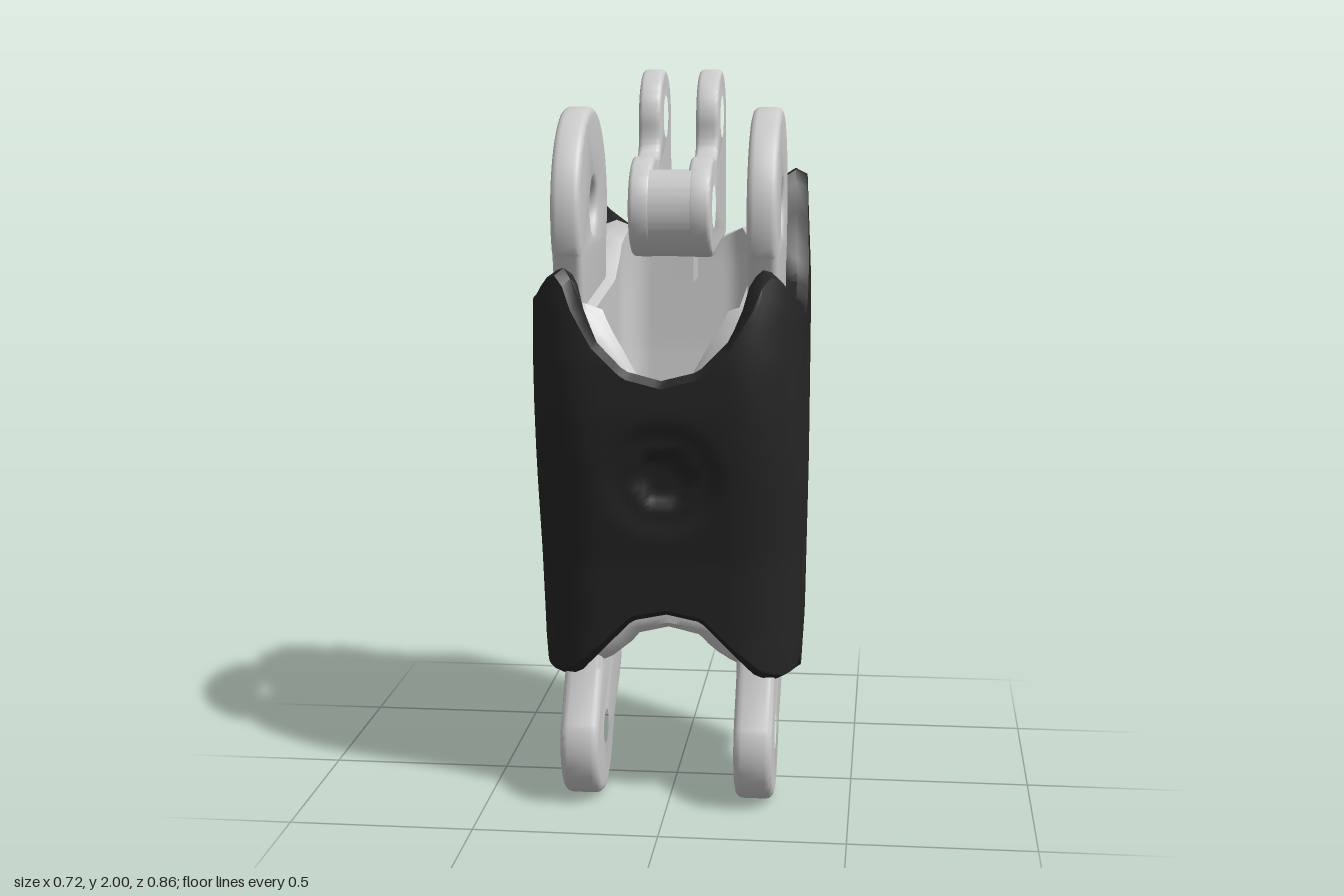
import * as THREE from 'three';
import { toCreasedNormals } from 'three/addons/utils/BufferGeometryUtils.js';

const grey = new THREE.MeshStandardMaterial({ color: 0xcccccc });
const black = new THREE.MeshStandardMaterial({ color: 0x262626 });

// Linear lookup in a short list of [key, value] pairs
function look(keys, k) {
  if (k <= keys[0][0]) return keys[0][1];
  for (let i = 1; i < keys.length; i++) {
    const [a, va] = keys[i - 1], [b, vb] = keys[i];
    if (k <= b) return va + (vb - va) * (k - a) / (b - a);
  }
  return keys[keys.length - 1][1];
}

// Body outline by height: front z, back z, half width
const FRONT = [[0.25, 0.275], [0.36, 0.285], [0.5, 0.3], [0.7, 0.33], [0.85, 0.365], [1, 0.4], [1.12, 0.42], [1.25, 0.43], [1.38, 0.424], [1.5, 0.408], [1.72, 0.37]];
const BACK = [[0.25, -0.325], [0.45, -0.365], [0.8, -0.4], [1.2, -0.425], [1.48, -0.428], [1.75, -0.41]];
const WIDTH = [[0.25, 0.345], [0.45, 0.355], [0.9, 0.36], [1.4, 0.36], [1.75, 0.345]];

// Point on half a rounded rectangle; t: 0-1 front, 1-2 corner, 2-3 side, 3-4 corner, 4-5 back
function section(t, y, { w, f, b, r }) {
  const W = look(WIDTH, y) - w, F = look(FRONT, y) - f, B = look(BACK, y) + b;
  const q = (t % 1) * Math.PI / 2;
  if (t < 1) return [t * (W - r), F];
  if (t < 2) return [W - r + r * Math.sin(q), F - r + r * Math.cos(q)];
  if (t < 3) return [W, F - r + (t - 2) * (B - F + 2 * r)];
  if (t < 4) return [W - r + r * Math.cos(q), B + r - r * Math.sin(q)];
  return [(5 - t) * (W - r), B];
}

// Hollow tube with wavy ends, rounded lips and a round hole through each side
function shell(outer, inner, top, bottom, dent, hole) {
  const N = 40, rows = 2 * N + 4, half = [], pos = [], idx = [];
  [10, 10, 16, 10, 10].forEach((n, s) => { for (let i = 0; i < n; i++) half.push(s + i / n); });
  const cols = [...half.map(t => [t, 1]), [5, 1], ...half.slice(1).reverse().map(t => [t, -1])];
  const C = cols.length, at = (c, j) => ((c + C) % C) * rows + (j + rows) % rows;
  for (const [t, s] of cols) {
    const T = look(top, t), B = look(bottom, t), lip = 0.018;
    for (let j = 0; j < rows; j++) {
      const rim = j === N + 1 || j === rows - 1;
      const k = j <= N ? j : 2 * N + 2 - j;
      const y = j === N + 1 ? T : j === rows - 1 ? B : B + lip + (T - B - 2 * lip) * k / N;
      let [x, z] = section(t, y, j <= N ? outer : inner);
      if (rim) {
        const o = section(t, y, outer);
        x = (x + o[0]) / 2; z = (z + o[1]) / 2;
      } else if (dent && j <= N) [x, z] = dent(t, x, y, z);
      pos.push(x * s, y, z);
    }
  }
  // Pull a ring of eight vertices onto each hole, drop the cells inside and line it
  const skip = new Set();
  for (const s of [1, -1]) {
    let best = 9, hc = 0, hr = 0;
    cols.forEach(([t, cs], c) => {
      if (cs !== s || t < 2 || t > 3) return;
      for (let j = 2; j < N - 1; j++) {
        const p = at(c, j) * 3, d = Math.hypot(pos[p + 1] - hole.y, pos[p + 2] - hole.z);
        if (d < best) { best = d; hc = c; hr = j; }
      }
    });
    const ring = [[1, 0], [1, 1], [0, 1], [-1, 1], [-1, 0], [-1, -1], [0, -1], [1, -1]];
    const flip = j => 2 * N + 2 - j;
    ring.forEach(([dc, dr]) => {
      const l = Math.hypot(dc, dr);
      for (const j of [hr + dr, flip(hr + dr)]) {
        const p = at(hc + dc, j) * 3;
        pos[p + 1] = hole.y + hole.r * dr / l;
        pos[p + 2] = hole.z - s * hole.r * dc / l;
      }
    });
    for (const dc of [-1, 0]) for (const dr of [-1, 0]) {
      skip.add((hc + dc) + '_' + (hr + dr));
      skip.add((hc + dc) + '_' + (flip(hr + dr) - 1));
    }
    ring.forEach(([c0, r0], i) => {
      const [c1, r1] = ring[(i + 1) % 8];
      const a = at(hc + c0, hr + r0), b = at(hc + c1, hr + r1);
      const d = at(hc + c0, flip(hr + r0)), e = at(hc + c1, flip(hr + r1));
      idx.push(a, b, e, a, e, d);
    });
  }
  for (let c = 0; c < C; c++) for (let j = 0; j < rows; j++) {
    if (skip.has(c + '_' + j)) continue;
    const a = at(c, j), b = at(c + 1, j), d = at(c + 1, j + 1), e = at(c, j + 1);
    idx.push(a, b, d, a, d, e);
  }
  const g = new THREE.BufferGeometry();
  g.setAttribute('position', new THREE.Float32BufferAttribute(pos, 3));
  g.setIndex(idx);
  return toCreasedNormals(g, 0.8);
}

// Recessed slanted panel on each side, round recess with a hexagonal socket in front
const step = (d, a, b) => 1 - THREE.MathUtils.smoothstep(d, a, b);
function dent(t, x, y, z) {
  if (t >= 2 && t <= 3) {
    const k = THREE.MathUtils.clamp((y - 0.68) / 0.5, 0, 1);
    const d = Math.hypot(z - (-0.045 + 0.07 * k), y - (0.68 + 0.5 * k));
    x -= 0.016 * step(d, 0.07, 0.105);
  } else if (t < 2) {
    const h = y - 0.94, d = Math.hypot(x, h), a = Math.atan2(h, x) + Math.PI / 6;
    const sector = Math.PI / 3, hex = d * Math.cos(a - sector * Math.round(a / sector));
    z -= 0.012 * step(d, 0.11, 0.175) + 0.028 * step(hex, 0.045, 0.085);
  }
  return [x, z];
}

// Plate drawn in (z, y) and extruded along x between x0 and x1
function plate(name, shape, x0, x1, bevel) {
  const geo = new THREE.ExtrudeGeometry(shape, {
    depth: x1 - x0 - 2 * bevel, curveSegments: 20,
    bevelEnabled: bevel > 0, bevelSize: bevel, bevelThickness: bevel, bevelOffset: -bevel, bevelSegments: 3,
  });
  geo.rotateY(-Math.PI / 2).translate(x1 - bevel, 0, 0);
  const mesh = new THREE.Mesh(toCreasedNormals(geo, 0.6), grey);
  mesh.name = name;
  return mesh;
}
function drill(shape, z, y, r) {
  shape.holes.push(new THREE.Path().absarc(z, y, r, 0, Math.PI * 2, true));
  return shape;
}

export function createModel() {
  const model = new THREE.Group();
  const add = (name, geo, mat) => {
    const m = new THREE.Mesh(geo, mat);
    m.name = name;
    model.add(m);
    return m;
  };
  const hole = { y: 1.13, z: 0.05, r: 0.045 };

  // Dark outer sleeve
  add('sleeve', shell({ w: 0, f: 0, b: 0, r: 0.18 }, { w: 0.062, f: 0.05, b: 0.09, r: 0.13 },
    [[0, 1.21], [0.55, 1.235], [1, 1.315], [1.2, 1.41], [1.35, 1.5], [1.5, 1.49], [1.7, 1.44], [2, 1.41], [2.29, 1.365], [2.5, 1.38], [2.71, 1.45], [2.83, 1.53], [2.9, 1.65], [2.97, 1.72], [3.1, 1.725], [3.33, 1.69], [3.67, 1.6], [4, 1.54], [4.5, 1.51], [5, 1.5]],
    [[0, 0.55], [0.55, 0.53], [1, 0.45], [1.33, 0.37], [1.6, 0.35], [2, 0.36], [2.4, 0.34], [2.75, 0.29], [3, 0.275], [3.5, 0.265], [3.7, 0.285], [4, 0.34], [4.5, 0.405], [5, 0.43]],
    dent, hole), black);

  // Grey liner inside the sleeve
  add('innerFrame', shell({ w: 0.066, f: 0.054, b: 0.094, r: 0.12 }, { w: 0.17, f: 0.1, b: 0.135, r: 0.08 },
    [[0, 1.2], [0.6, 1.22], [1, 1.3], [1.5, 1.4], [2, 1.4], [2.8, 1.43], [3.1, 1.52], [3.5, 1.57], [4, 1.54], [5, 1.48]],
    [[0, 0.5], [0.6, 0.48], [1, 0.43], [1.5, 0.38], [2, 0.38], [3, 0.33], [3.6, 0.33], [4, 0.38], [5, 0.46]],
    null, hole), grey);

  // Upper disc plates and lower lugs
  const disc = new THREE.Shape();
  disc.moveTo(0.26, 1.2);
  disc.lineTo(0.34, 1.52);
  disc.absarc(0.1, 1.635, 0.27, -0.4, Math.PI + 0.4, false);
  disc.lineTo(-0.12, 1.2);
  drill(disc, 0.1, 1.64, 0.07);

  const lug = new THREE.Shape();
  lug.moveTo(0.2, 0.6);
  lug.lineTo(0.22, 0.37);
  lug.absarc(0.155, 0.17, 0.17, 0.42, -2.6, true);
  lug.bezierCurveTo(-0.06, 0.2, -0.12, 0.18, -0.2, 0.28);
  lug.lineTo(-0.22, 0.6);
  drill(lug, 0.15, 0.185, 0.07);

  for (const s of [-1, 1]) {
    const span = (a, b) => s > 0 ? [a, b] : [-b, -a];
    model.add(plate(s > 0 ? 'leftDisc' : 'rightDisc', disc, ...span(0.216, 0.295), 0.018));
    model.add(plate(s > 0 ? 'leftLug' : 'rightLug', lug, ...span(0.185, 0.291), 0.022));
  }

  // Forked link between the discs
  const ear = new THREE.Shape();
  ear.moveTo(-0.31, 1.53);
  ear.lineTo(-0.3, 1.8);
  ear.absarc(-0.16, 1.865, 0.135, Math.PI, -0.15, true);
  ear.bezierCurveTo(-0.03, 1.77, 0, 1.77, 0.06, 1.77);
  ear.absarc(0.09, 1.638, 0.135, 1.75, -Math.PI / 2, true);
  drill(drill(ear, 0.1, 1.64, 0.07), -0.155, 1.87, 0.07);

  const core = new THREE.Shape();
  core.moveTo(-0.31, 1.53);
  core.lineTo(-0.31, 1.63);
  core.lineTo(-0.1, 1.66);
  core.lineTo(0.04, 1.735);
  core.lineTo(0.17, 1.735);
  core.absarc(0.09, 1.638, 0.134, 0.87, -Math.PI / 2, true);
  drill(core, 0.1, 1.64, 0.07);

  const link = new THREE.Group();
  link.name = 'forkLink';
  link.add(plate('rightEar', ear, -0.11, -0.048, 0.012), plate('leftEar', ear, 0.048, 0.11, 0.012), plate('linkCore', core, -0.065, 0.065, 0));
  model.add(link);

  // Rib joining the link to the back wall
  add('rib', new THREE.BoxGeometry(0.06, 0.14, 0.16), grey).position.set(0, 1.475, -0.23);
  return model;
}
